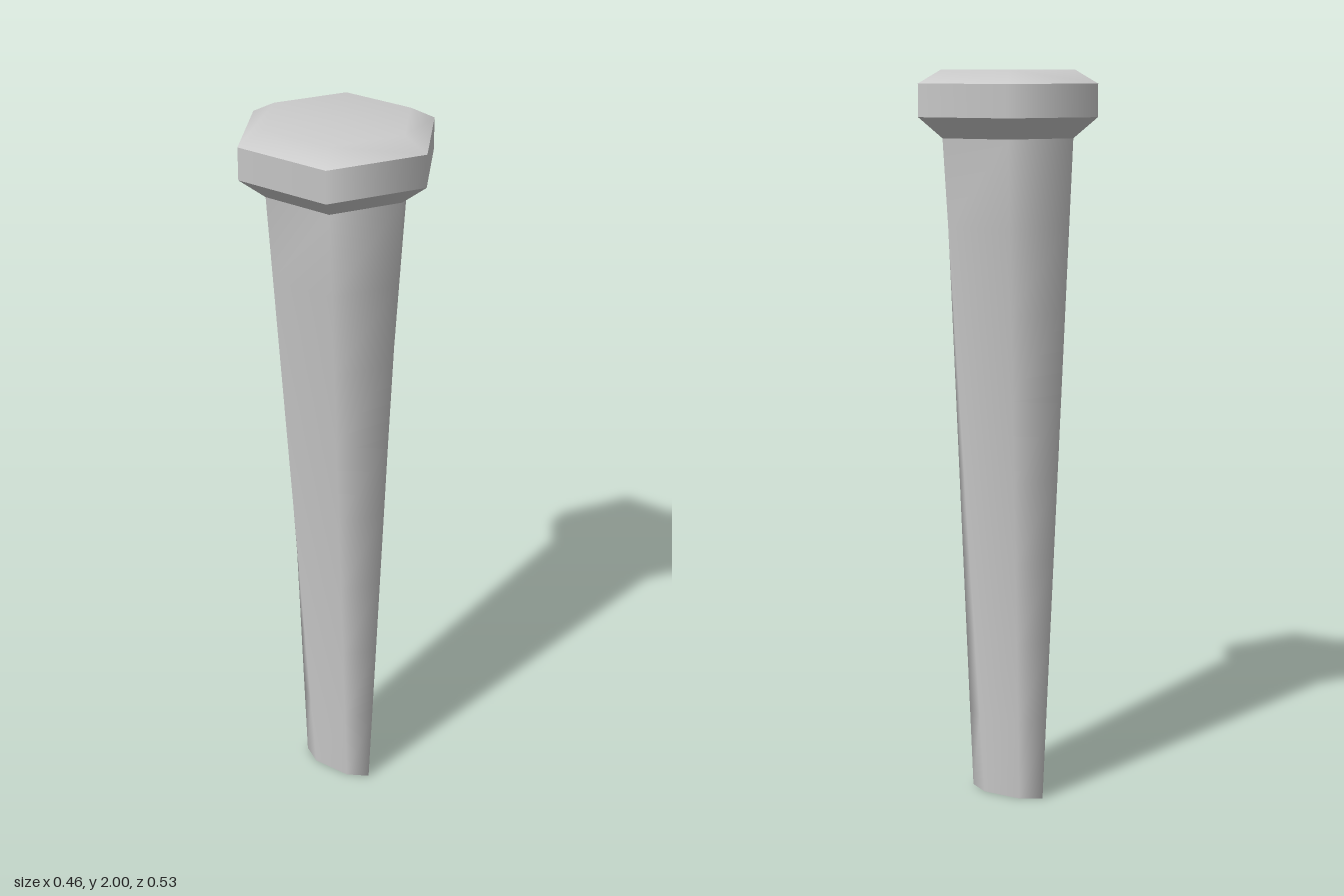
import * as THREE from 'three';
import { mergeVertices } from 'three/addons/utils/BufferGeometryUtils.js';

const SIDES = 6;
const material = new THREE.MeshStandardMaterial({ color: 0xcccccc });

function addPart(group, name, geometry) {
  const mesh = new THREE.Mesh(geometry, material);
  mesh.name = name;
  group.add(mesh);
}

// six-sided band, smooth around its girth; profile runs from bottom to top
function hexBand(profile) {
  return new THREE.LatheGeometry(profile.map(([r, y]) => new THREE.Vector2(r, y)), SIDES);
}

// shaft narrowing faster in x than in z, towards a chisel tip
function taperedShaft(height, topRadius, tipX, tipZ) {
  let geometry = new THREE.CylinderGeometry(1, 1, height, SIDES, 8, true);
  geometry.translate(0, height / 2, 0);
  const p = geometry.attributes.position;
  for (let i = 0; i < p.count; i++) {
    const t = p.getY(i) / height;
    p.setX(i, p.getX(i) * THREE.MathUtils.lerp(tipX, topRadius, t));
    p.setZ(i, p.getZ(i) * THREE.MathUtils.lerp(tipZ, topRadius, t));
  }
  geometry.deleteAttribute('normal');
  geometry.deleteAttribute('uv');
  geometry = mergeVertices(geometry);
  geometry.computeVertexNormals();
  return geometry;
}

export function createModel() {
  const model = new THREE.Group();
  model.name = 'spike';

  // head: under-bevel, straight rim and softly shaded crown
  const head = new THREE.Group();
  head.name = 'head';
  addPart(head, 'headUnderside', hexBand([[0.196, 1.825], [0.267, 1.88]]));
  addPart(head, 'headRim', hexBand([[0.267, 1.88], [0.267, 1.965]]));
  addPart(head, 'headCrown', hexBand([[0.267, 1.965], [0.2, 2], [0, 2]]));
  model.add(head);

  // shaft and its flat tip
  const tipX = 0.038, tipZ = 0.112;
  addPart(model, 'shaft', taperedShaft(1.825, 0.196, tipX, tipZ));
  const tip = new THREE.CircleGeometry(1, SIDES, Math.PI / 2);
  tip.rotateX(Math.PI / 2);
  tip.scale(tipX, 1, tipZ);
  addPart(model, 'tip', tip);

  return model;
}
